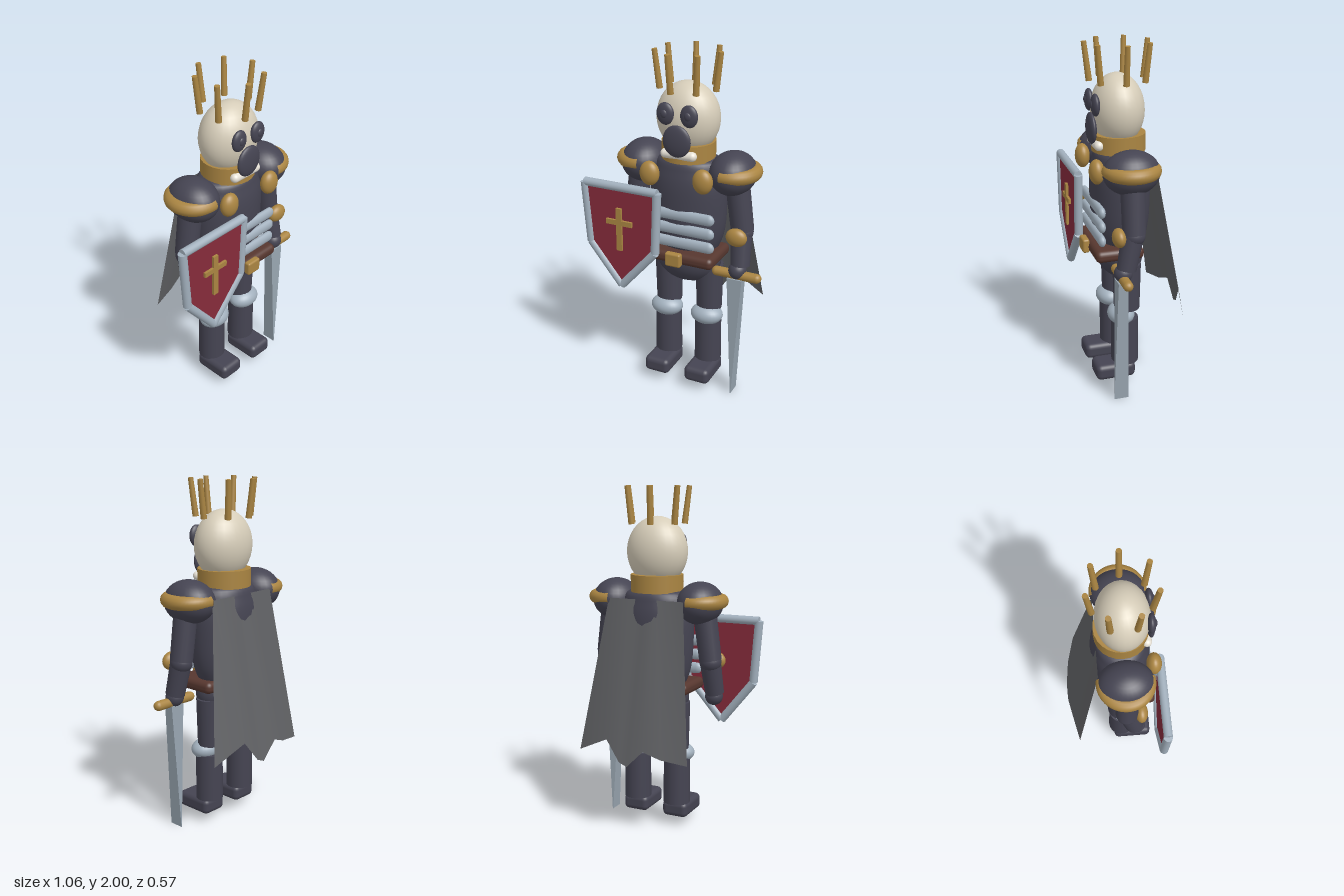
import * as THREE from 'three';
import { RoundedBoxGeometry } from 'three/addons/geometries/RoundedBoxGeometry.js';

const mat = (name, color, side = THREE.FrontSide) => {
  const m = new THREE.MeshStandardMaterial({ color, side });
  m.name = name;
  return m;
};

const CX = 0.05; // the figure's own middle; the shield pushes it off centre

export function createModel() {
  const model = new THREE.Group();
  model.name = 'skeletonKnight';
  const armour = mat('darkArmour', 0x454452);
  const gold = mat('gold', 0xaa8542);
  const steel = mat('steel', 0xa2b0bd);
  const bladeSteel = mat('bladeSteel', 0x98a5b0);
  const red = mat('shieldRed', 0x862b3b);
  const leather = mat('leather', 0x57372f);
  const bone = mat('bone', 0xd6cdb9);
  const teeth = mat('teeth', 0xe6e1d6);
  const cloth = mat('capeCloth', 0x606164, THREE.DoubleSide);

  const add = (name, geo, material, x = 0, y = 0, z = 0) => {
    const m = new THREE.Mesh(geo, material);
    m.name = name;
    m.position.set(x, y, z);
    model.add(m);
    return m;
  };
  const ball = (name, material, x, y, z, rx, ry, rz) => {
    const m = add(name, new THREE.SphereGeometry(1, 28, 18), material, x, y, z);
    m.scale.set(rx, ry, rz);
    return m;
  };
  const box = (name, material, x, y, z, w, h, d, r) =>
    add(name, r ? new RoundedBoxGeometry(w, h, d, 3, r) : new THREE.BoxGeometry(w, h, d), material, x, y, z);
  // Tapered rod between two points
  const rod = (name, material, a, b, ra, rb = ra, sides = 18) => {
    const p = new THREE.Vector3(...a), q = new THREE.Vector3(...b);
    const d = q.clone().sub(p);
    const m = add(name, new THREE.CylinderGeometry(rb, ra, d.length(), sides), material);
    m.position.copy(p).add(q).multiplyScalar(0.5);
    m.quaternion.setFromUnitVectors(new THREE.Vector3(0, 1, 0), d.normalize());
    return m;
  };

  // Skull and face
  ball('skull', bone, CX, 1.63, 0.055, 0.182, 0.2, 0.148);
  ball('noseCavity', armour, CX, 1.53, 0.205, 0.083, 0.09, 0.025);
  for (const s of [-1, 1]) {
    ball('eyeSocket', armour, CX + s * 0.07, 1.675, 0.198, 0.051, 0.062, 0.024);
    ball('pupil', armour, CX + s * 0.07, 1.678, 0.216, 0.02, 0.024, 0.012);
  }
  rod('teeth', teeth, [CX - 0.08, 1.448, 0.182], [CX + 0.08, 1.448, 0.182], 0.027);
  for (const s of [-1, 1]) ball('toothEnd', teeth, CX + s * 0.08, 1.448, 0.182, 0.027, 0.027, 0.027);

  // Crown of seven spikes, leaning outward
  for (let i = 0; i < 7; i++) {
    const a = (i / 7) * Math.PI * 2, c = Math.cos(a), s = Math.sin(a);
    rod('crownSpike', gold, [CX + c * 0.158, 1.787, 0.05 + s * 0.158],
      [CX + c * 0.184, 2, 0.05 + s * 0.184], 0.018, 0.015, 10);
  }

  // Collar, torso, hips
  add('collar', new THREE.CylinderGeometry(0.152, 0.152, 0.1, 24), gold, CX, 1.45, 0.05);
  const profile = [[0, 0.84], [0.15, 0.85], [0.195, 0.91], [0.217, 1.0], [0.225, 1.12],
    [0.225, 1.25], [0.205, 1.34], [0.165, 1.405], [0, 1.425]].map(p => new THREE.Vector2(...p));
  add('torso', new THREE.LatheGeometry(new THREE.SplineCurve(profile).getPoints(32), 32), armour, CX, 0, 0.045)
    .scale.z = 0.74;
  ball('hips', armour, CX, 0.79, 0.05, 0.2, 0.15, 0.132);

  // Stomach bands, belt and buckle
  for (const y of [0.935, 1.018, 1.102]) {
    const band = add('stomachBand', new THREE.CapsuleGeometry(0.033, 0.38, 6, 16), steel, CX, y, 0.2);
    band.rotation.z = Math.PI / 2;
    band.scale.z = 0.65;
  }
  box('belt', leather, CX, 0.845, 0.1, 0.45, 0.07, 0.28, 0.03);
  box('buckle', gold, CX, 0.85, 0.253, 0.095, 0.082, 0.04, 0.012);

  // Limbs and paired armour
  for (const s of [-1, 1]) {
    const x = d => CX + s * d;
    ball('chestDisc', gold, x(0.16), 1.33, 0.218, 0.058, 0.07, 0.042);
    ball('shoulderDome', armour, x(0.27), 1.345, 0.055, 0.13, 0.122, 0.158);
    const rim = add('shoulderRim', new THREE.TorusGeometry(0.122, 0.04, 14, 28, Math.PI * 1.1), gold, x(0.27), 1.358, 0.055);
    rim.geometry.rotateZ(-Math.PI * 0.55).rotateX(Math.PI / 2);
    if (s < 0) rim.rotation.y = Math.PI;

    rod('upperArm', armour, [x(0.295), 1.31, 0.058], [x(0.335), 1.02, 0.06], 0.068, 0.065);
    ball('elbowJoint', armour, x(0.335), 1.01, 0.06, 0.063, 0.06, 0.063);
    ball('elbowGuard', gold, x(0.332), 1.005, 0.143, 0.062, 0.053, 0.037);
    rod('forearm', armour, [x(0.33), 1.04, 0.06], [x(0.345), 0.82, 0.105], 0.062, 0.055);
    ball('hand', armour, x(0.335), 0.795, 0.12, 0.052, 0.052, 0.052);

    rod('thigh', armour, [x(0.13), 0.48, 0.04], [x(0.13), 0.76, 0.04], 0.075, 0.082);
    ball('kneeGuard', steel, x(0.13), 0.445, 0.075, 0.098, 0.06, 0.078);
    rod('shin', armour, [x(0.13), 0.14, 0.052], [x(0.13), 0.42, 0.052], 0.08, 0.078);
    box('foot', armour, x(0.13), 0.099, 0.122, 0.158, 0.094, 0.235, 0.03);
  }

  // Sword: a wedge whose tip is an edge running front to back
  const blade = new THREE.BoxGeometry(0.09, 0.75, 0.055);
  const bp = blade.attributes.position;
  for (let i = 0; i < bp.count; i++)
    if (bp.getY(i) < 0) bp.setXYZ(i, bp.getX(i) * 0.04, bp.getY(i), bp.getZ(i) * 1.55);
  const bladeGeo = blade.toNonIndexed();
  bladeGeo.computeVertexNormals();
  add('swordBlade', bladeGeo, bladeSteel, 0.38, 0.375, 0.13);
  add('swordGuard', new THREE.CapsuleGeometry(0.028, 0.24, 6, 16), gold, 0.382, 0.77, 0.127).rotation.z = Math.PI / 2;

  // Shield: thin panel, tubular rim and a cross
  const outline = [[-0.503, 1.233], [-0.476, 0.868], [-0.28, 0.622], [-0.062, 0.868], [-0.045, 1.233]];
  const panel = new THREE.Shape(outline.map(p => new THREE.Vector2(...p)));
  add('shieldPanel', new THREE.ExtrudeGeometry(panel, { depth: 0.02, bevelEnabled: false }), red, 0, 0, 0.25);
  outline.forEach((p, i) => {
    const q = outline[(i + 1) % outline.length];
    rod('shieldRim', steel, [...p, 0.26], [...q, 0.26], 0.025);
  });
  box('crossUpright', gold, -0.279, 0.98, 0.274, 0.034, 0.26, 0.022);
  box('crossBar', gold, -0.279, 1.022, 0.274, 0.164, 0.03, 0.022);

  // Cape: straight top edge, ragged hem
  const hem = [[-0.27, 0.465, -0.225], [-0.12, 0.49, -0.258], [-0.02, 0.53, -0.28], [0.08, 0.43, -0.285],
    [0.13, 0.45, -0.283], [0.22, 0.57, -0.265], [0.42, 0.475, -0.225]];
  const pos = [], idx = [];
  hem.forEach((h, i) => {
    const t = (h[0] + 0.27) / 0.69;
    pos.push(-0.18 + 0.47 * t, 1.365, -0.092, ...h);
    if (i) {
      const b = 2 * i;
      idx.push(b - 2, b, b - 1, b, b + 1, b - 1);
    }
  });
  const cape = new THREE.BufferGeometry();
  cape.setAttribute('position', new THREE.Float32BufferAttribute(pos, 3));
  cape.setIndex(idx);
  cape.computeVertexNormals();
  add('cape', cape, cloth);

  return model;
}
